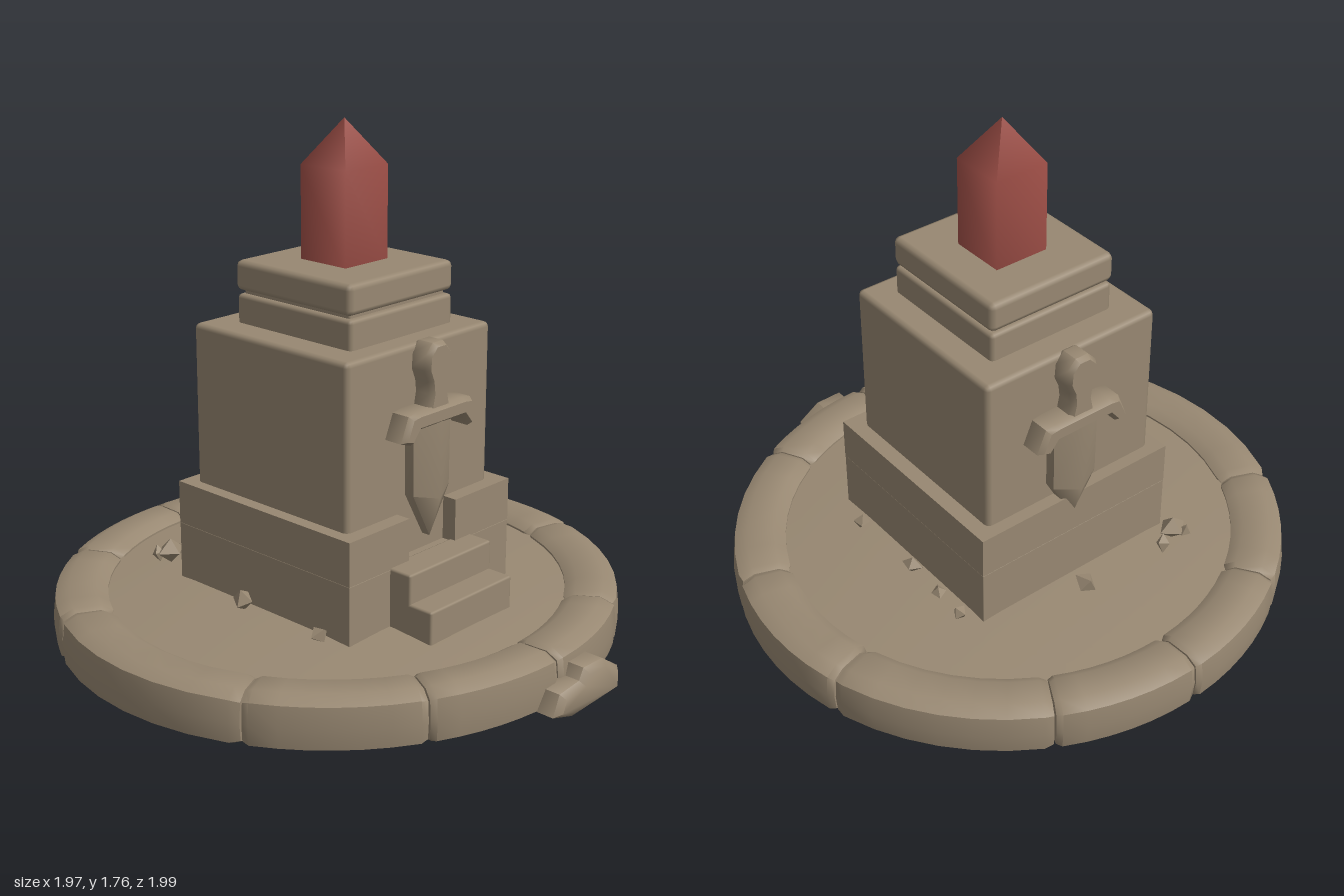
import * as THREE from 'three';
import { toCreasedNormals } from 'three/addons/utils/BufferGeometryUtils.js';
import { RoundedBoxGeometry } from 'three/addons/geometries/RoundedBoxGeometry.js';

export function createModel() {
  const group = new THREE.Group();
  const stone = new THREE.MeshStandardMaterial({ color: 0x988872 });
  stone.name = 'stone';
  const red = new THREE.MeshStandardMaterial({ color: 0x9f4f47 });
  red.name = 'redCrystal';

  const add = (name, geo, mat = stone, parent = group) => {
    const mesh = new THREE.Mesh(geo, mat);
    mesh.name = name;
    parent.add(mesh);
    return mesh;
  };
  // block given by its extents
  const block = (name, x0, x1, y0, y1, z0, z1, r = 0.008) => {
    const geo = new RoundedBoxGeometry(x1 - x0, y1 - y0, z1 - z0, 1, r);
    geo.translate((x0 + x1) / 2, (y0 + y1) / 2, (z0 + z1) / 2);
    return add(name, geo);
  };
  const vectors = (pts) => pts.map(([x, y]) => new THREE.Vector2(x, y));
  const shapeOf = (pts) => new THREE.Shape(vectors(pts));

  // floor disc, very slightly domed and set up inside the rim
  const floorProfile = vectors([[0, 0.105], [0.87, 0.105], [0.87, 0.155], [0.75, 0.165],
    [0.5, 0.183], [0, 0.186]]);
  const floor = add('floorDisc', toCreasedNormals(new THREE.LatheGeometry(floorProfile, 48), 0.6));
  floor.position.z = -0.04;
  floor.scale.z = 0.975;

  // rim stones: a rounded section swept along an arc, drawn in a little at both ends
  const section = [[0.81, 0.08], [0.797, 0.12], [0.797, 0.168], [0.835, 0.192], [0.93, 0.195],
    [0.976, 0.172], [0.985, 0.1], [0.978, 0.032], [0.94, 0.013], [0.87, 0.025]];
  const rimStone = (a0, a1) => {
    const pos = [], idx = [], n = section.length;
    const stops = [0, 0.04, 0.2, 0.35, 0.5, 0.65, 0.8, 0.96, 1];
    stops.forEach((t) => {
      const a = a0 + (a1 - a0) * t;
      const k = t === 0 || t === 1 ? 0.9 : 1;
      for (const [r, y] of section) {
        const rr = 0.89 + (r - 0.89) * k, yy = 0.1 + (y - 0.1) * k;
        pos.push(rr * Math.cos(a), yy, rr * Math.sin(a) * 0.975 - 0.04);
      }
    });
    const last = (stops.length - 1) * n;
    for (let s = 0; s < last; s += n) {
      for (let j = 0; j < n; j++) {
        const k = (j + 1) % n;
        idx.push(s + j, s + n + j, s + k, s + n + j, s + n + k, s + k);
      }
    }
    for (let j = 1; j < n - 1; j++) idx.push(0, j, j + 1, last, last + j + 1, last + j);
    const geo = new THREE.BufferGeometry();
    geo.setAttribute('position', new THREE.Float32BufferAttribute(pos, 3));
    geo.setIndex(idx);
    return toCreasedNormals(geo, 0.9);
  };
  const joints = [-91, -61, -17, 18.5, 61, 90, 119, 153, 205, 239, 269];
  for (let i = 0; i < joints.length - 1; i++) {
    const d = Math.PI / 180;
    add('rimStone', rimStone(joints[i] * d + 0.003, joints[i + 1] * d - 0.003));
  }

  // plinth, with a recess in the upper front for the blade tip
  block('plinthLower', -0.39, 0.4, 0.14, 0.38, -0.41, 0.385, 0.002);
  const plan = shapeOf([[-0.39, 0.41], [-0.39, -0.385], [-0.11, -0.385], [-0.11, -0.3],
    [0.12, -0.3], [0.12, -0.385], [0.4, -0.385], [0.4, 0.41]]);
  const upper = new THREE.ExtrudeGeometry(plan, { depth: 0.15, bevelEnabled: false });
  upper.rotateX(-Math.PI / 2);
  upper.translate(0, 0.38, 0);
  add('plinthUpper', upper);

  // steps
  block('upperStep', -0.2, 0.205, 0.14, 0.385, 0.36, 0.47);
  block('lowerStep', -0.2, 0.205, 0.14, 0.285, 0.36, 0.56);

  // pillar, neck and cap
  block('pillar', -0.345, 0.345, 0.36, 1.087, -0.365, 0.332, 0.018);
  block('neck', -0.24, 0.248, 1.06, 1.185, -0.265, 0.248, 0.014);
  block('groove', -0.222, 0.23, 1.16, 1.22, -0.247, 0.227);
  block('cap', -0.243, 0.252, 1.195, 1.298, -0.27, 0.248, 0.02);

  // crystal: square shaft running smoothly into a pointed top
  const crystal = new THREE.LatheGeometry(
    vectors([[0.141, 1.28], [0.141, 1.61], [0, 1.76]]), 4, Math.PI / 4);
  add('crystal', crystal, red).position.set(0.013, 0, -0.019);

  // relief swords on front and back
  const sword = () => {
    const g = new THREE.Group();
    g.name = 'sword';
    const blade = new THREE.BufferGeometry();
    blade.setAttribute('position', new THREE.Float32BufferAttribute([
      -0.09, 0.86, 0, -0.09, 0.86, 0.04, 0, 0.86, 0.08, 0.09, 0.86, 0.04, 0.09, 0.86, 0,
      -0.088, 0.59, 0, -0.088, 0.59, 0.04, 0, 0.57, 0.08, 0.088, 0.59, 0.04, 0.088, 0.59, 0,
      0, 0.43, 0, 0, 0.43, 0.035], 3));
    const idx = [];
    for (let j = 0; j < 4; j++) idx.push(j, j + 5, j + 1, j + 1, j + 5, j + 6);
    idx.push(5, 10, 6, 6, 10, 11, 6, 11, 7, 7, 11, 8, 8, 11, 10, 8, 10, 9);
    blade.setIndex(idx);
    add('blade', toCreasedNormals(blade, 1.1), stone, g);

    // softly bevelled outlines for the guard and the handle
    const relief = (name, pts, depth) => {
      const geo = new THREE.ExtrudeGeometry(shapeOf(pts), {
        depth: depth - 0.018, bevelThickness: 0.018, bevelSize: 0.012, bevelOffset: -0.012,
        bevelSegments: 1 });
      add(name, toCreasedNormals(geo, 0.9), stone, g);
    };
    relief('guard', [[-0.185, 0.8], [-0.14, 0.785], [-0.105, 0.828], [0.105, 0.828],
      [0.14, 0.785], [0.185, 0.8], [0.15, 0.882], [0.11, 0.888], [-0.11, 0.888], [-0.15, 0.882]], 0.088);
    const half = [[0.052, 0.87], [0.04, 0.93], [0.045, 0.97], [0.062, 1.01], [0.058, 1.06], [0.025, 1.095]];
    relief('handle', [...half, ...half.map(([x, y]) => [-x, y]).reverse()], 0.075);
    group.add(g);
    return g;
  };
  sword().position.set(0.015, 0, 0.328);
  const back = sword();
  back.position.set(0.015, 0, -0.363);
  back.rotation.y = Math.PI;

  // fallen chunk leaning on the front of the rim
  const chunk = shapeOf([[-0.1, 0.03], [0, 0], [0.235, 0.01], [0.235, 0.09], [0.15, 0.145],
    [0.05, 0.148], [0.03, 0.11], [-0.07, 0.1]]);
  const chunkGeo = new THREE.ExtrudeGeometry(chunk, { depth: 0.1, bevelThickness: 0.02,
    bevelSize: 0.02, bevelOffset: -0.02, bevelSegments: 1 });
  add('fallenChunk', toCreasedNormals(chunkGeo, 0.9)).position.z = 0.87;

  // rubble on the floor: x, y, z, radius
  const rubble = [[-0.36, 0.24, -0.5, 0.055], [-0.295, 0.22, -0.525, 0.034], [-0.39, 0.23, -0.53, 0.03],
    [0.035, 0.21, -0.5, 0.045], [0.46, 0.22, -0.36, 0.032], [0.45, 0.21, -0.23, 0.03],
    [0.45, 0.225, -0.08, 0.038], [0.45, 0.21, 0.225, 0.034], [-0.44, 0.22, -0.05, 0.045],
    [-0.44, 0.21, 0.3, 0.037]];
  rubble.forEach(([x, y, z, r], i) => {
    const mesh = add('rubble', new THREE.OctahedronGeometry(r, 0));
    mesh.position.set(x, y, z);
    mesh.rotation.set(i * 1.3, i * 2.1, i * 0.7);
    mesh.scale.set(1, 0.8, 0.85);
  });

  return group;
}
